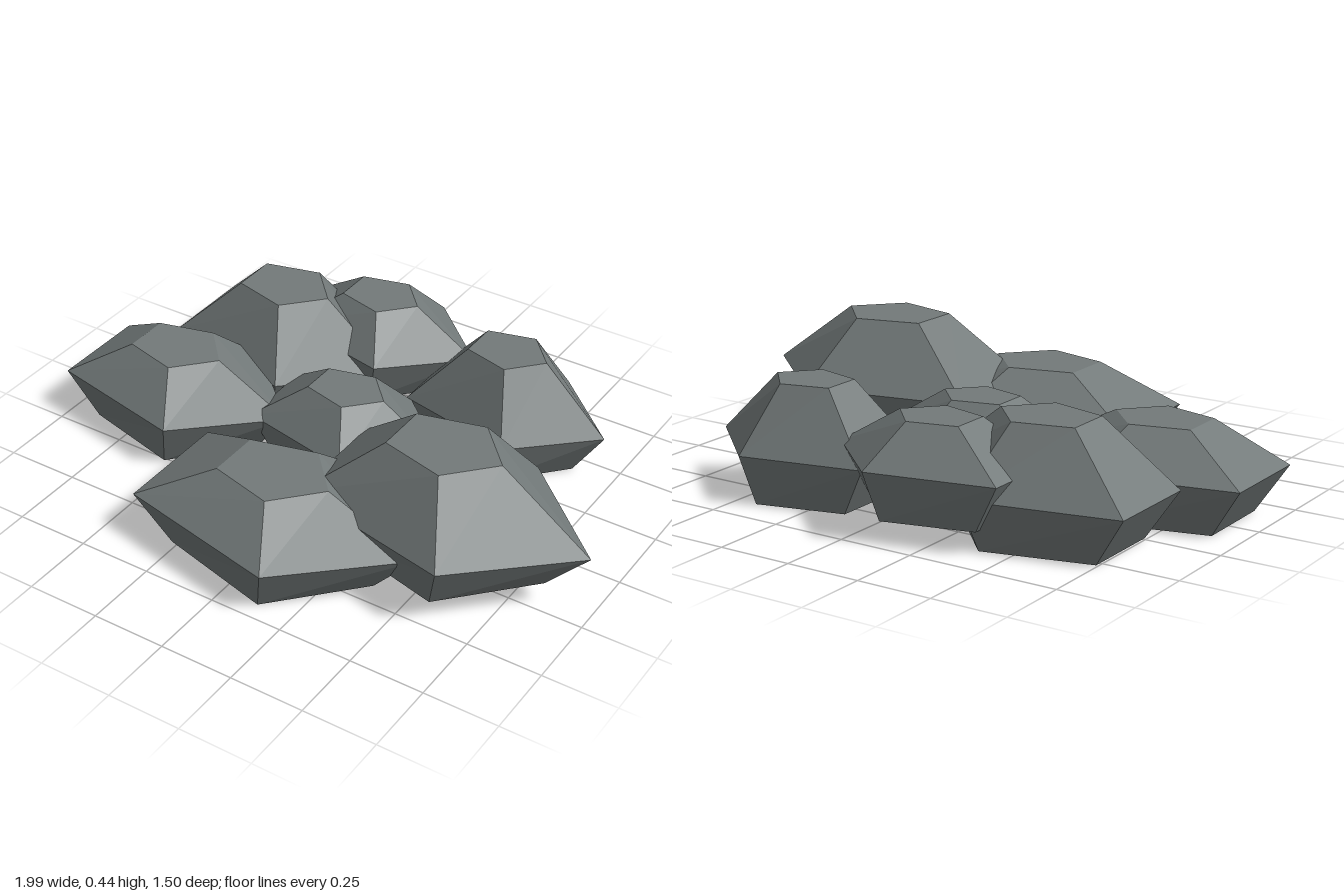
import * as THREE from 'three';

const SIDES = 5;
// rings from base to top: x scale, z scale (relative to the widest ring)
const RINGS = [[0.71, 0.84], [1, 1], [0.385, 0.46]];

// faceted stone: three stretched pentagons joined by flat faces and capped
function stoneGeometry(rx, rz, heights) {
  const points = RINGS.map(([sx, sz], r) => Array.from({ length: SIDES }, (_, i) => {
    const a = (i / SIDES) * Math.PI * 2;
    return [Math.cos(a) * rx * sx, heights[r], -Math.sin(a) * rz * sz];
  }));
  const tris = [];
  for (let r = 0; r < RINGS.length - 1; r++) {
    for (let i = 0; i < SIDES; i++) {
      const j = (i + 1) % SIDES;
      const a = points[r][i], b = points[r][j], c = points[r + 1][j], d = points[r + 1][i];
      tris.push(a, b, c, a, c, d);
    }
  }
  const base = points[0], top = points[RINGS.length - 1];
  for (let i = 1; i < SIDES - 1; i++) {
    tris.push(top[0], top[i], top[i + 1]);
    tris.push(base[0], base[i + 1], base[i]);
  }
  const geometry = new THREE.BufferGeometry();
  geometry.setAttribute('position', new THREE.Float32BufferAttribute(tris.flat(), 3));
  geometry.computeVertexNormals();
  return geometry;
}

export function createModel() {
  const group = new THREE.Group();
  group.name = 'stoneCluster';
  const material = new THREE.MeshStandardMaterial({ color: 0x737a7a, flatShading: true });

  // name, centre x, centre z, half widths, heights of base / widest ring / top
  const stones = [
    ['largeRaisedStone', 0.488, 0.205, 0.503, 0.331, [0.07, 0.225, 0.445]],
    ['frontStone', 0.018, 0.425, 0.504, 0.334, [0, 0.16, 0.295]],
    ['rightStone', -0.649, 0.03, 0.434, 0.287, [0, 0.16, 0.295]],
    ['middleStone', -0.04, -0.067, 0.36, 0.233, [0, 0.16, 0.295]],
    ['backRightStone', -0.491, -0.38, 0.437, 0.287, [0, 0.16, 0.375]],
    ['backRaisedStone', -0.197, -0.524, 0.368, 0.242, [0.07, 0.225, 0.36]],
    ['backLeftStone', 0.344, -0.438, 0.366, 0.245, [0, 0.16, 0.375]],
  ];
  for (const [name, x, z, rx, rz, heights] of stones) {
    const stone = new THREE.Mesh(stoneGeometry(rx, rz, heights), material);
    stone.name = name;
    stone.position.set(x, 0, z);
    group.add(stone);
  }
  return group;
}
